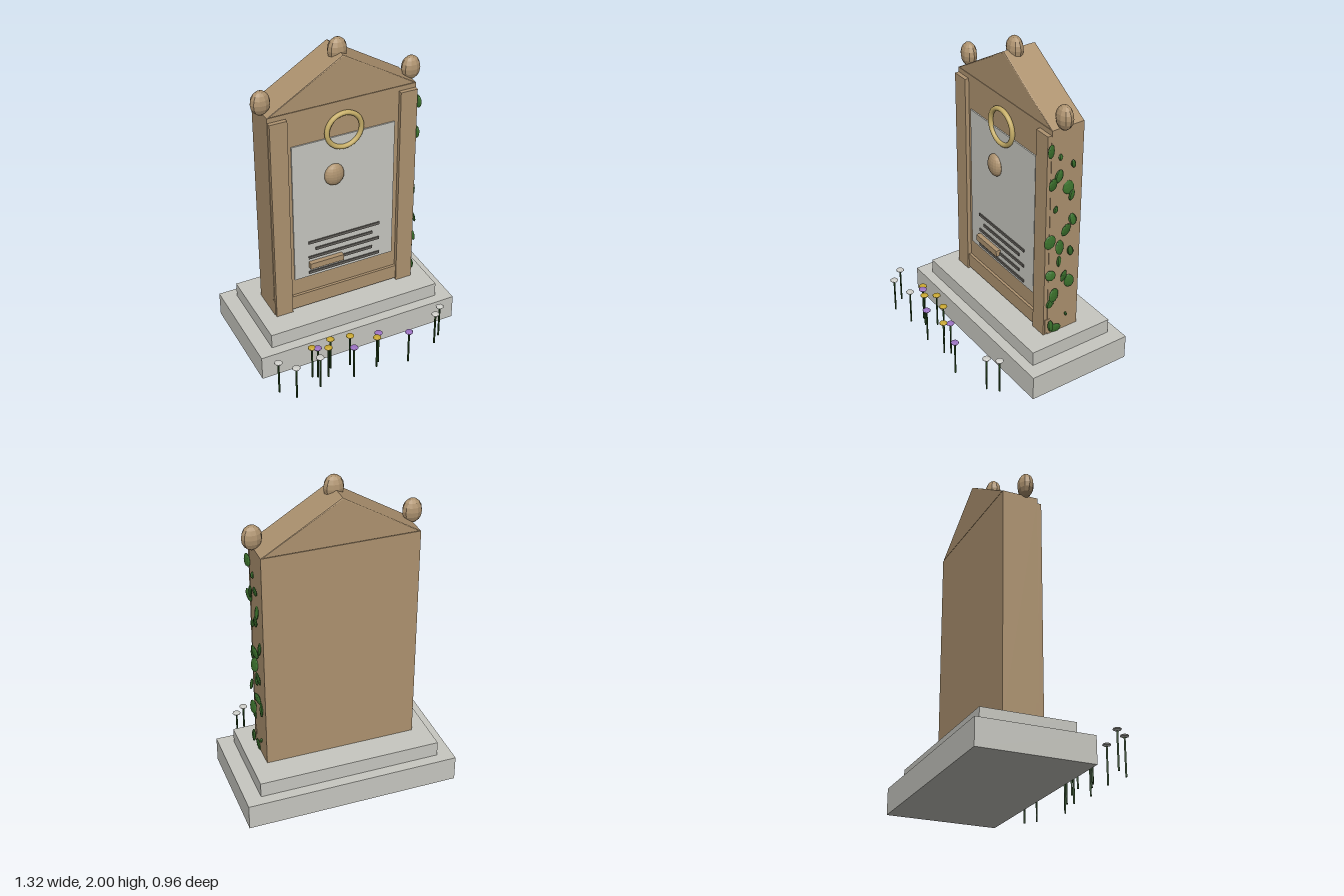
import * as THREE from 'three';

const mat = (name, color, flatShading = false) => {
  const m = new THREE.MeshStandardMaterial({ color, flatShading });
  m.name = name;
  return m;
};

export function createModel() {
  const root = new THREE.Group();
  root.name = 'memorialStone';

  const stone = mat('paleStone', 0xc8c8c1);
  const tan = mat('tanStone', 0xae9370, true);
  const ink = mat('darkEngraving', 0x625f5a);
  const gold = mat('paleGold', 0xc6ae68);
  const leafGreen = mat('ivyGreen', 0x3a702c, true);
  const stemGreen = mat('stemGreen', 0x24441c);
  const white = mat('whitePetal', 0xcfcfca, true);
  const yellow = mat('yellowPetal', 0xc9a832, true);
  const purple = mat('purplePetal', 0x9b72c2, true);

  const add = (name, geometry, material, x = 0, y = 0, z = 0, parent = root) => {
    const m = new THREE.Mesh(geometry, material);
    m.name = name;
    m.position.set(x, y, z);
    parent.add(m);
    return m;
  };
  // Box given by its extents on each axis
  const box = (name, material, x0, x1, y0, y1, z0, z1) =>
    add(name, new THREE.BoxGeometry(x1 - x0, y1 - y0, z1 - z0), material,
      (x0 + x1) / 2, (y0 + y1) / 2, (z0 + z1) / 2);

  // Stepped plinth
  box('lowerStep', stone, -0.66, 0.66, 0, 0.16, -0.485, 0.203);
  box('upperStep', stone, -0.565, 0.565, 0.16, 0.255, -0.42, 0.14);

  // Slab with pilasters and bottom rail
  box('slab', tan, -0.468, 0.468, 0.255, 1.64, -0.247, -0.03);
  box('bottomRail', tan, -0.47, 0.47, 0.27, 0.365, -0.05, -0.013);
  for (const s of [-1, 1]) {
    const a = s * 0.357, b = s * 0.465;
    box('pilaster', tan, Math.min(a, b), Math.max(a, b), 0.257, 1.61, -0.05, -0.004);
  }

  // Bevelled triangular pediment
  const gable = new THREE.Shape();
  gable.moveTo(-0.468, 1.64);
  gable.lineTo(0.468, 1.64);
  gable.lineTo(0, 1.925);
  gable.closePath();
  const bevel = 0.008;
  add('pediment', new THREE.ExtrudeGeometry(gable, {
    depth: 0.217 - 2 * bevel, bevelEnabled: true, bevelSize: bevel,
    bevelThickness: bevel, bevelOffset: -bevel, bevelSegments: 2,
  }), tan, 0, 0, -0.247 + bevel);

  // Egg-shaped finials
  for (const [x, y] of [[-0.472, 1.703], [0, 1.925], [0.472, 1.703]]) {
    add('finial', new THREE.SphereGeometry(1, 10, 8), tan, x, y, -0.107)
      .scale.set(0.06, 0.075, 0.046);
  }

  // Plaque, engraved bars and small label
  box('plaque', stone, -0.33, 0.33, 0.48, 1.42, -0.032, -0.022);
  for (let i = 0; i < 5; i++) {
    const w = i % 2 ? 0.19 : 0.237, y = 0.73 - i * 0.055;
    box('engravedBar', ink, -w, w, y - 0.009, y + 0.009, -0.023, -0.015);
  }
  box('label', tan, -0.237, -0.015, 0.55, 0.59, -0.022, 0.008);

  // Ring and oval medallion
  add('ring', new THREE.TorusGeometry(0.11, 0.015, 12, 48), gold, 0, 1.455, -0.018);
  add('medallion', new THREE.SphereGeometry(1, 16, 12), tan, -0.065, 1.17, -0.02)
    .scale.set(0.063, 0.072, 0.036);

  // Ivy leaves on the left flank: z, y, width, height
  const ivy = new THREE.Group();
  ivy.name = 'ivy';
  root.add(ivy);
  const leaves = [
    [-0.02, 1.52, 0.06, 0.085], [-0.17, 1.40, 0.03, 0.06], [-0.09, 1.46, 0.03, 0.04],
    [-0.075, 1.35, 0.05, 0.085], [-0.037, 1.305, 0.07, 0.085], [-0.148, 1.25, 0.075, 0.09],
    [-0.164, 1.20, 0.04, 0.075], [-0.063, 1.13, 0.03, 0.05], [-0.185, 1.025, 0.05, 0.075],
    [-0.132, 0.976, 0.08, 0.085], [-0.032, 0.918, 0.07, 0.095], [-0.095, 0.866, 0.075, 0.09],
    [-0.17, 0.818, 0.04, 0.085], [-0.1, 0.76, 0.035, 0.075], [-0.032, 0.692, 0.065, 0.065],
    [-0.132, 0.65, 0.06, 0.085], [-0.174, 0.596, 0.07, 0.09], [-0.058, 0.543, 0.08, 0.09],
    [-0.042, 0.48, 0.05, 0.075], [-0.158, 0.36, 0.016, 0.026], [-0.042, 0.322, 0.042, 0.08],
    [-0.085, 0.28, 0.08, 0.07],
  ];
  leaves.forEach(([z, y, w, h], i) => {
    const leaf = add('ivyLeaf', new THREE.SphereGeometry(0.5, 8, 6), leafGreen,
      0.478 + 0.008 * Math.sin(i * 2.3), y, z, ivy);
    leaf.scale.set(0.02, h, w);
    leaf.rotation.set(0.25 * Math.sin(i * 1.7), 0.3 * Math.cos(i * 2.9), 0.2 * Math.sin(i * 4.1));
  });

  // Flowers standing in front: x, z
  const beds = [
    ['whiteFlower', white, [[-0.615, 0.353], [-0.54, 0.44], [-0.376, 0.42], [0.43, 0.377], [0.49, 0.325]]],
    ['yellowFlower', yellow, [[-0.383, 0.321], [-0.295, 0.363], [-0.252, 0.3], [-0.132, 0.325], [0.007, 0.41]]],
    ['purpleFlower', purple, [[-0.354, 0.339], [-0.157, 0.43], [0.034, 0.377], [0.203, 0.452]]],
  ];
  for (const [name, petal, spots] of beds) {
    for (const [x, z] of spots) {
      const flower = new THREE.Group();
      flower.name = name;
      flower.position.set(x, 0, z);
      root.add(flower);
      add('stem', new THREE.CylinderGeometry(0.006, 0.006, 0.228, 6), stemGreen, 0, 0.114, 0, flower);
      add('bloom', new THREE.SphereGeometry(0.026, 8, 6), petal, 0, 0.231, 0, flower).scale.y = 0.36;
    }
  }

  return root;
}
